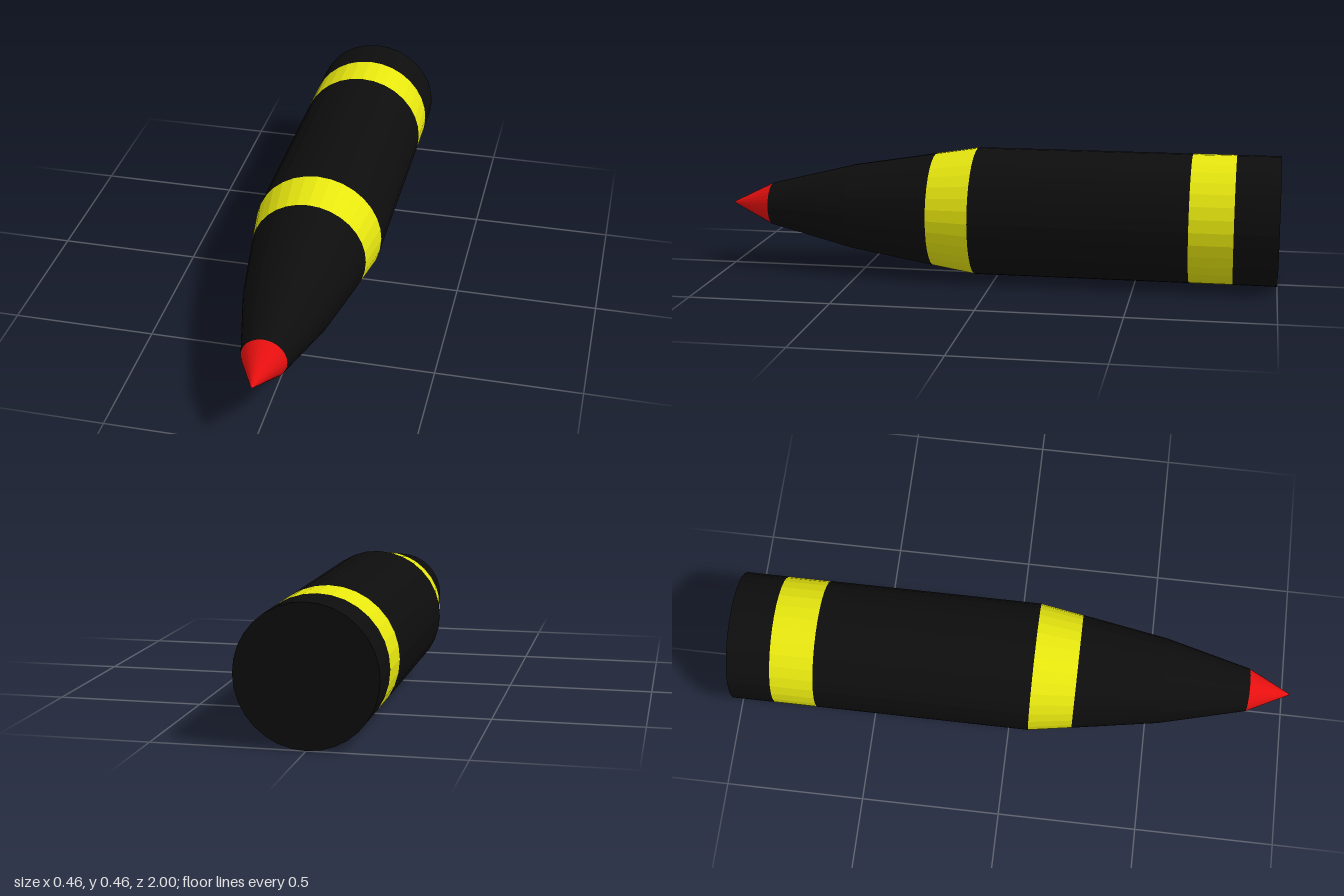
import * as THREE from 'three';

export function createModel() {
  const R = 0.23;
  const SIDES = 32;
  const model = new THREE.Group();
  model.name = 'shell';

  const paint = (name, color) => {
    const m = new THREE.MeshStandardMaterial({ color, flatShading: true });
    m.name = name;
    return m;
  };
  const black = paint('black', 0x0d0d0d);
  const yellow = paint('yellow', 0xe6e60f);
  const red = paint('red', 0xe60f0f);

  // One ring of the body, from z0 (radius r0) forward to z1 (radius r1)
  function section(name, material, z0, r0, z1, r1, open = true) {
    const geometry = new THREE.CylinderGeometry(r1, r0, z1 - z0, SIDES, 1, open);
    geometry.rotateX(Math.PI / 2);
    const mesh = new THREE.Mesh(geometry, material);
    mesh.name = name;
    mesh.position.set(0, R, (z0 + z1) / 2);
    model.add(mesh);
  }

  // Straight casing with its closed base
  section('base', black, -1, R, -0.846, R, false);
  section('rearBand', yellow, -0.846, R, -0.692, R);
  section('casing', black, -0.692, R, 0.077, R);

  // Tapering nose
  section('frontBand', yellow, 0.077, R, 0.231, 0.205);
  section('noseRear', black, 0.231, 0.205, 0.538, 0.154);
  section('noseFront', black, 0.538, 0.154, 0.846, 0.077);
  section('tip', red, 0.846, 0.077, 1, 0);

  return model;
}
